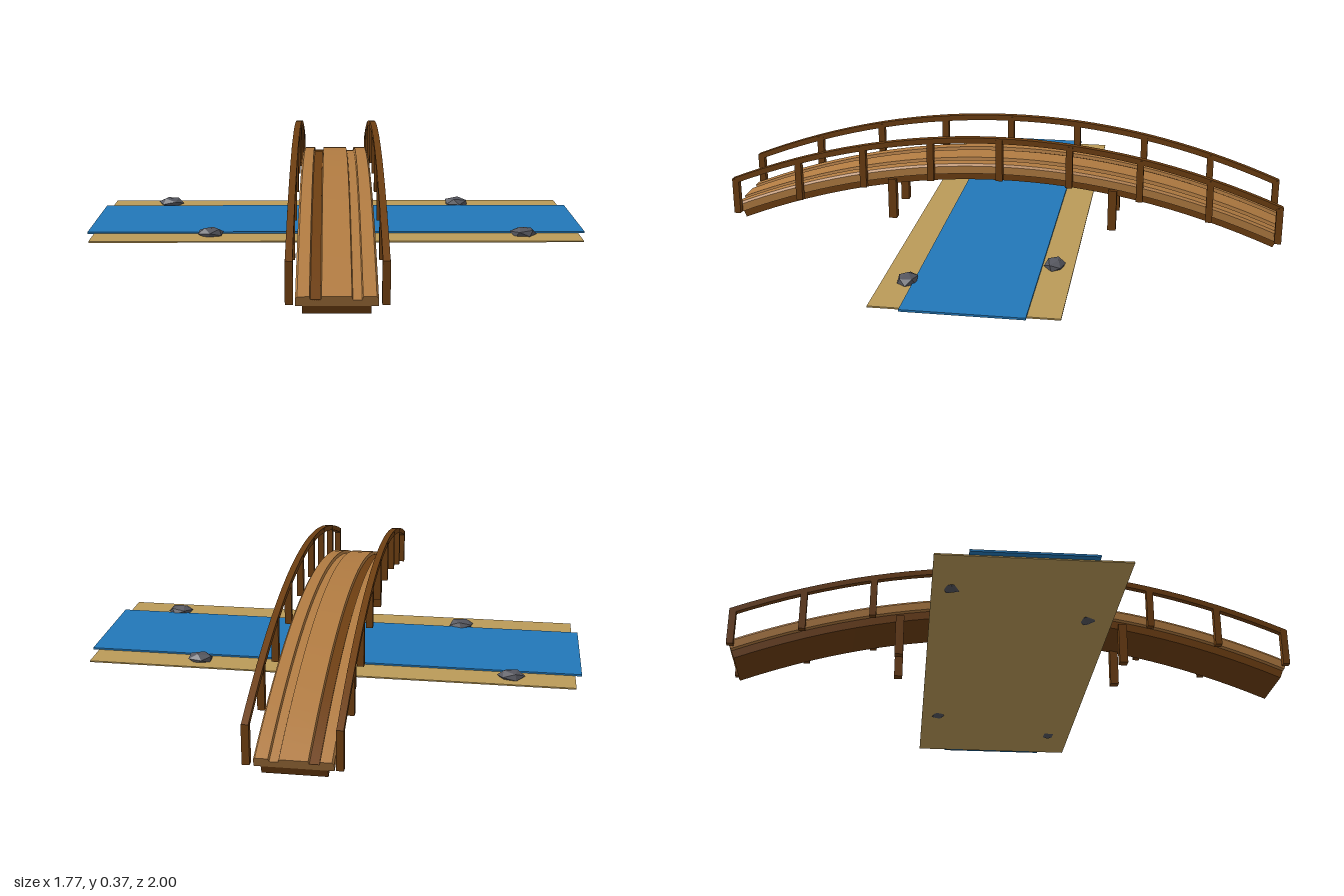
import * as THREE from 'three';
import { toCreasedNormals } from 'three/addons/utils/BufferGeometryUtils.js';

const material = (name, color) => {
  const m = new THREE.MeshStandardMaterial({ color });
  m.name = name;
  return m;
};

export function createModel() {
  const plankWood = material('plank wood', 0xb27c42);
  const darkWood = material('dark wood', 0x6e3f12);
  const sand = material('sand', 0xbb9b58);
  const water = material('water', 0x2277b8);
  const stone = material('stone', 0x55565e);

  const bridge = new THREE.Group();
  bridge.name = 'footbridge';
  const add = (name, geometry, mat, x = 0, y = 0, z = 0) => {
    const mesh = new THREE.Mesh(geometry, mat);
    mesh.name = name;
    mesh.position.set(x, y, z);
    bridge.add(mesh);
    return mesh;
  };
  const box = (name, w, h, d, mat, x, y, z) => add(name, new THREE.BoxGeometry(w, h, d), mat, x, y, z);

  // Arch: a cross-section (x, height from the crown line) swept along a parabola
  const RISE = 0.205;
  const drop = (z) => RISE * z * z;
  const arched = (points, crown) => {
    const shape = new THREE.Shape(points.map(([x, y]) => new THREE.Vector2(x, y)));
    const geometry = new THREE.ExtrudeGeometry(shape, { depth: 2, steps: 32, bevelEnabled: false });
    const p = geometry.attributes.position;
    for (let i = 0; i < p.count; i++) {
      const h = p.getY(i), z = p.getZ(i) - 1;
      const slope = 2 * RISE * z, length = Math.hypot(1, slope);
      p.setXYZ(i, p.getX(i), crown - drop(z) + h / length, z + (h * slope) / length);
    }
    return toCreasedNormals(geometry, 0.4);
  };
  const rect = (x0, x1, y0, y1) => [[x0, y0], [x1, y0], [x1, y1], [x0, y1]];

  // Walkway with rounded edges and two shallow grooves
  add('deckPlanks', arched([
    [-0.125, -0.036], [0.121, -0.036], [0.121, -0.008], [0.115, 0],
    [0.075, 0], [0.072, -0.012], [0.045, -0.012], [0.042, 0],
    [-0.047, 0], [-0.05, -0.013], [-0.08, -0.013], [-0.083, 0],
    [-0.119, 0], [-0.125, -0.008],
  ], 0.265), plankWood);
  add('deckGroove', arched(rect(-0.08, -0.05, -0.014, -0.011), 0.265), darkWood);
  add('deckBeam', arched(rect(-0.105, 0.1, -0.065, -0.036), 0.265), darkWood);

  // Handrails, posts and legs on both sides
  for (const side of [-1, 1]) {
    const x = side * 0.143;
    add('handrail', arched(rect(x - 0.011, x + 0.011, -0.02, 0), 0.374), darkWood);
    for (const z of [-0.988, -0.745, -0.5, -0.25, 0, 0.25, 0.5, 0.745, 0.988]) {
      const bottom = Math.max(0.035, 0.215 - drop(z)), top = 0.368 - drop(z);
      box('railPost', 0.024, top - bottom, 0.024, darkWood, x, (top + bottom) / 2, z);
    }
    for (const z of [-0.403, 0.403])
      box('supportLeg', 0.03, 0.15, 0.03, darkWood, side * 0.1, 0.11, z);
  }

  // Stream bed and water
  box('streamBed', 1.725, 0.005, 0.61, sand, 0, 0.0345, 0);
  box('streamWater', 1.77, 0.007, 0.398, water, 0, 0.0395, 0);

  // Stones on the banks
  [[-0.64, -0.243, 0.2], [0.47, -0.24, 1.4], [-0.445, 0.22, 2.6], [0.663, 0.22, 0.8]].forEach(([x, z, turn]) => {
    const geometry = new THREE.IcosahedronGeometry(1, 0).rotateX(turn).rotateY(turn * 2);
    geometry.scale(0.05, 0.021, 0.037);
    geometry.computeVertexNormals();
    add('bankStone', geometry, stone, x, 0.045, z);
  });

  return bridge;
}
